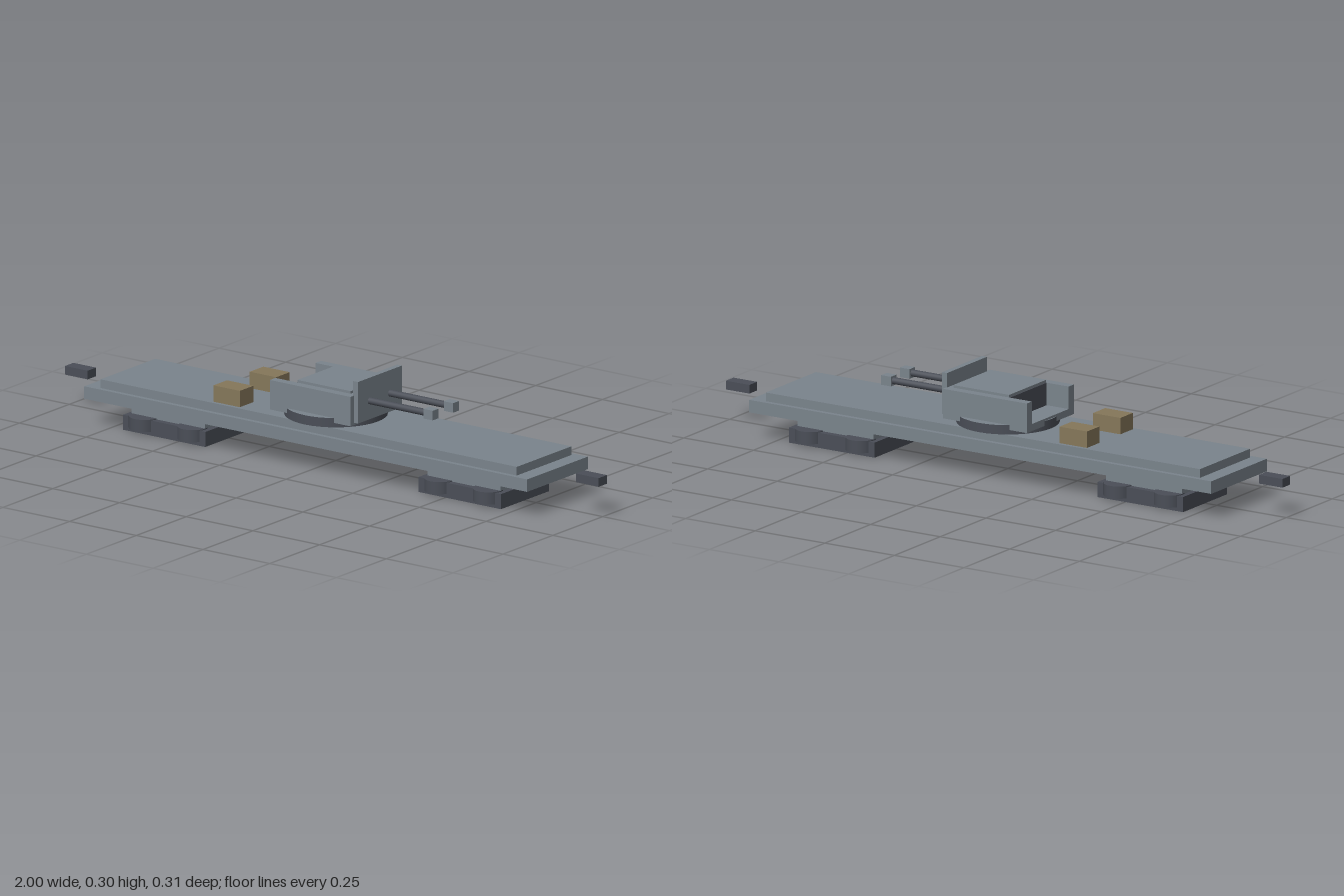
import * as THREE from 'three';

export function createModel() {
  const root = new THREE.Group();
  root.name = 'gunRailcar';
  const mat = (name, color) => {
    const m = new THREE.MeshStandardMaterial({ color });
    m.name = name;
    return m;
  };
  const hull = mat('hullGrey', 0x7a848c);
  const dark = mat('darkSteel', 0x4a4e57);
  const tan = mat('crateTan', 0x85775a);

  const add = (name, geometry, material, x, y, z, parent = root) => {
    const mesh = new THREE.Mesh(geometry, material);
    mesh.name = name;
    mesh.position.set(x, y, z);
    parent.add(mesh);
    return mesh;
  };
  // Box given by its extents on each axis
  const box = (name, material, [x0, x1], [y0, y1], [z0, z1], parent = root) =>
    add(name, new THREE.BoxGeometry(x1 - x0, y1 - y0, z1 - z0), material,
      (x0 + x1) / 2, (y0 + y1) / 2, (z0 + z1) / 2, parent);

  // Flat wagon deck in two steps
  box('lowerDeck', hull, [-0.83, 0.83], [0.083, 0.122], [-0.152, 0.152]);
  box('upperDeck', hull, [-0.78, 0.78], [0.122, 0.149], [-0.137, 0.137]);

  for (const s of [-1, 1]) {
    // Bogie with four flat-lying wheels
    const bogie = new THREE.Group();
    bogie.name = s < 0 ? 'rightBogie' : 'leftBogie';
    bogie.position.x = s * 0.554;
    root.add(bogie);
    box('bogieFrame', dark, [-0.154, 0.154], [0, 0.047], [-0.12, 0.12], bogie);
    box('bogieBolster', hull, [-0.137, 0.137], [0.047, 0.073], [-0.1, 0.1], bogie);
    for (const x of [-0.091, 0.091]) {
      for (const z of [-0.0975, 0.0975]) {
        add('wheel', new THREE.CylinderGeometry(0.0475, 0.0475, 0.038, 24), dark, x, 0.031, z, bogie);
      }
    }
    // Coupler ahead of each end
    const coupler = box('coupler', dark, [-0.0425, 0.0425], [0.098, 0.125], [-0.021, 0.021]);
    coupler.position.x = s * 0.9575;
    // Ammunition crates
    const crate = box('crate', tan, [-0.366, -0.267], [0.149, 0.2], [-0.034, 0.034]);
    crate.position.z = s * 0.091;
  }

  // Turret: ring, body with an open rear, roof and shield
  const turret = new THREE.Group();
  turret.name = 'turret';
  root.add(turret);
  add('turretRing', new THREE.CylinderGeometry(0.156, 0.156, 0.029, 40), [dark, hull, hull], 0, 0.1635, 0, turret);
  box('turretBody', hull, [-0.07, 0.15], [0.163, 0.255], [-0.128, 0.128], turret);
  box('turretFloor', hull, [-0.152, -0.07], [0.163, 0.185], [-0.1, 0.1], turret);
  box('recessPanel', dark, [-0.073, -0.07], [0.185, 0.255], [-0.1, 0.1], turret);
  for (const s of [-1, 1]) {
    const wall = box('turretWall', hull, [-0.152, -0.07], [0.163, 0.255], [-0.014, 0.014], turret);
    wall.position.z = s * 0.114;
  }
  box('roofPlate', hull, [-0.07, 0.13], [0.255, 0.263], [-0.1, 0.1], turret);
  box('gunShield', hull, [0.147, 0.165], [0.17, 0.3], [-0.11, 0.11], turret);

  // Twin guns
  for (const z of [-0.051, 0.051]) {
    const barrel = add('barrel', new THREE.CylinderGeometry(0.0105, 0.0105, 0.22, 16), dark, 0.27, 0.228, z, turret);
    barrel.rotation.z = Math.PI / 2;
    box('muzzle', hull, [0.377, 0.412], [0.213, 0.243], [z - 0.015, z + 0.015], turret);
  }
  return root;
}
